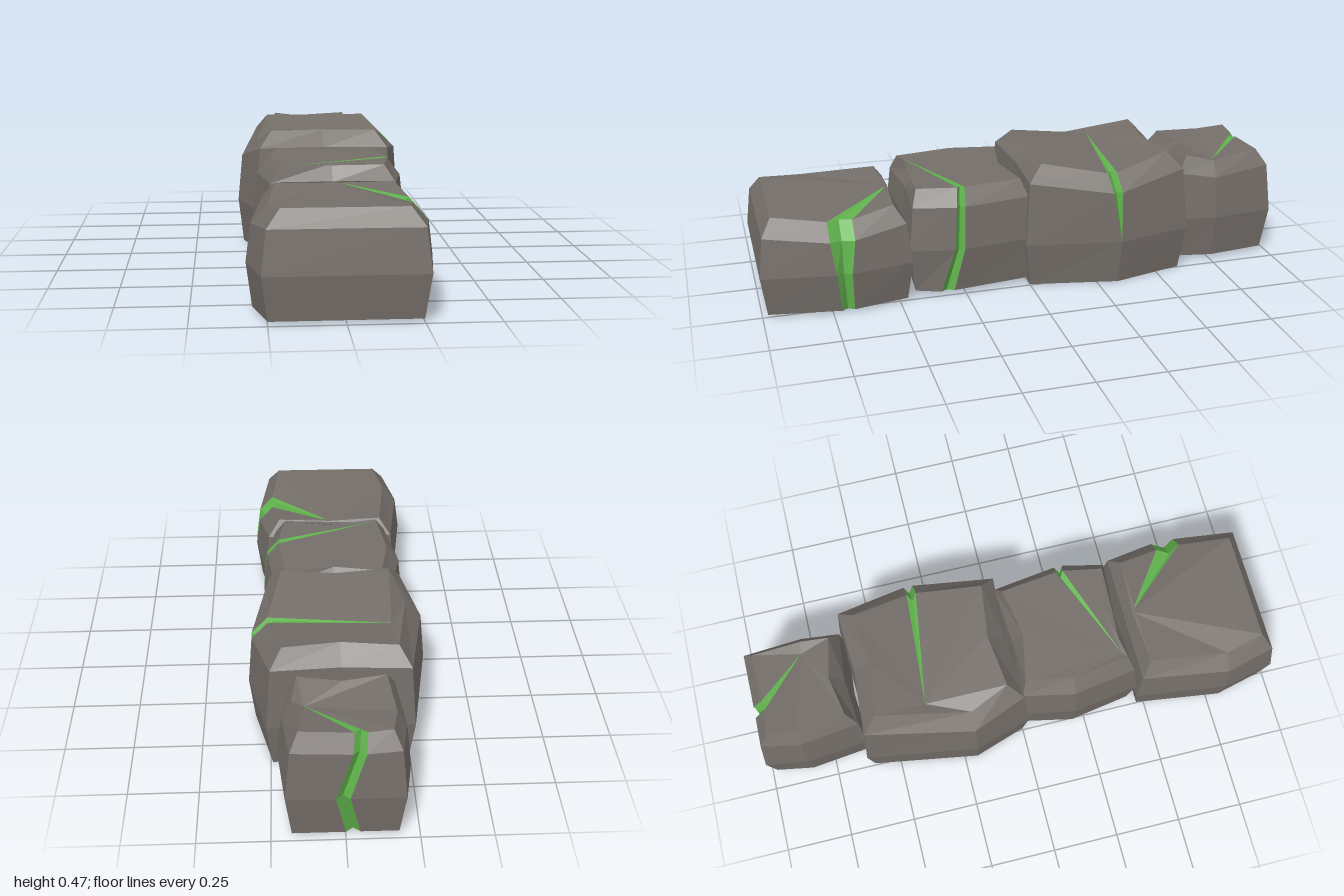
import * as THREE from 'three';

const stone = new THREE.MeshStandardMaterial({ color: 0x746e69, flatShading: true, side: THREE.DoubleSide });
stone.name = 'grey stone';
const glow = new THREE.MeshStandardMaterial({ color: 0x60b24c, flatShading: true, side: THREE.DoubleSide });
glow.name = 'green crack';

function makeMesh(triangles, material, name) {
  const g = new THREE.BufferGeometry();
  g.setAttribute('position', new THREE.Float32BufferAttribute(triangles.flat(2), 3));
  g.computeVertexNormals();
  const mesh = new THREE.Mesh(g, material);
  mesh.name = name;
  return mesh;
}

// Hollow block, open below: upright edges rise from base over a bulge and shoulder
// to a bevelled top, which is fanned to the end of the crack.
function makeBlock({ name, front, back, half, base, mid, top, bevel, arch, left, right, crack }) {
  const cz = (front + back) / 2;

  // One upright edge at (x, z); `drop` lowers its top, `bend` pushes the top further in
  const column = (x, z, drop = 0, topInset = bevel) => {
    const sx = Math.sign(x), sz = Math.sign(z - cz), y = top - drop;
    return [
      [x - sx * 0.02, base, z - sz * 0.02],
      [x, mid, z],
      [x - sx * 0.017, y - 0.06, z - sz * 0.017],
      [x * 0.77, y, z - sz * topInset],
    ];
  };
  // End wall, with an extra middle edge where its top is arched inward
  const end = (s, z) => {
    const middle = column(0, z - Math.sign(z - cz) * 0.015, 0, bevel + arch);
    return [column(-s * half, z), ...(arch ? [middle] : []), column(s * half, z)];
  };
  // Side edge that is not at an end: keeps its z at every height
  const side = (x, z, drop) => column(x, z, drop, 0).map(([px, py]) => [px, py, z]);

  // Near lip, sunken middle and far lip of the crack, on the right side or the back
  const lips = [-1, 0, 1].map((s) => crack.rows.map(([at, w], i) => {
    const cut = s === 0 && w > 0 ? 0.025 : 0;
    const line = crack.onBack ? column(0, back, crack.drop) : side(crack.out, cz, crack.drop);
    const [x, y, z] = line[i];
    return crack.onBack ? [at - s * w, y - cut / 5, z + cut] : [x - cut, y - cut / 5, at - s * w];
  }));

  const backWall = end(-1, back);
  if (crack.onBack) backWall.splice(1, backWall.length - 2, ...lips);
  const columns = [
    ...end(1, front),
    ...(crack.onBack ? [side(...right)] : lips),
    ...backWall,
    side(...left),
  ];

  const stoneTris = [], crackTris = [];
  const same = (p, q) => p.every((v, k) => Math.abs(v - q[k]) < 1e-6);
  columns.forEach((a, i) => {
    const b = columns[(i + 1) % columns.length];
    const list = lips.includes(a) && lips.includes(b) ? crackTris : stoneTris;
    const add = (p, q, r) => {
      if (!same(p, q) && !same(q, r) && !same(r, p)) list.push([p, q, r]);
    };
    for (let l = 0; l < 3; l++) {
      add(a[l], b[l], b[l + 1]);
      add(a[l], b[l + 1], a[l + 1]);
    }
    add(a[3], b[3], crack.tip);
  });

  const group = new THREE.Group();
  group.name = name;
  group.add(makeMesh(stoneTris, stone, name + 'Stone'), makeMesh(crackTris, glow, name + 'Crack'));
  return group;
}

export function createModel() {
  const model = new THREE.Group();
  model.name = 'crackedStoneRow';

  // left and right: [x, z, drop]; crack rows: [position, half width] from base to top
  model.add(makeBlock({
    name: 'frontBlock', front: 1, back: 0.45, half: 0.27,
    base: 0.01, mid: 0.16, top: 0.367, bevel: 0.055, arch: 0,
    left: [-0.315, 0.8, 0.017],
    crack: {
      out: 0.31, drop: 0.027, tip: [0, 0.365, 0.49],
      rows: [[0.695, 0.022], [0.705, 0.028], [0.705, 0.045], [0.705, 0.045]],
    },
  }));

  model.add(makeBlock({
    name: 'secondBlock', front: 0.455, back: -0.015, half: 0.24,
    base: 0.02, mid: 0.19, top: 0.41, bevel: 0.038, arch: 0.02,
    left: [-0.28, 0.2, 0],
    crack: {
      out: 0.275, drop: 0, tip: [-0.165, 0.405, 0.4],
      rows: [[0.32, 0.025], [0.275, 0.018], [0.265, 0.016], [0.255, 0.014]],
    },
  }));

  model.add(makeBlock({
    name: 'thirdBlock', front: 0.02, back: -0.62, half: 0.263,
    base: 0, mid: 0.17, top: 0.467, bevel: 0.073, arch: 0.01,
    left: [-0.33, -0.2, 0.057],
    crack: {
      out: 0.328, drop: 0.045, tip: [-0.19, 0.43, -0.36],
      rows: [[-0.33, 0], [-0.335, 0], [-0.32, 0.018], [-0.315, 0.018]],
    },
  }));

  model.add(makeBlock({
    name: 'backBlock', front: -0.6, back: -1, half: 0.2,
    base: 0.015, mid: 0.18, top: 0.423, bevel: 0.055, arch: 0.015,
    left: [-0.225, -0.84, 0.013], right: [0.225, -0.76, 0.023],
    crack: {
      onBack: true, drop: 0.01, tip: [0.13, 0.385, -0.77],
      rows: [[-0.025, 0.024], [0.01, 0.024], [-0.045, 0.022], [-0.05, 0.022]],
    },
  }));

  return model;
}
